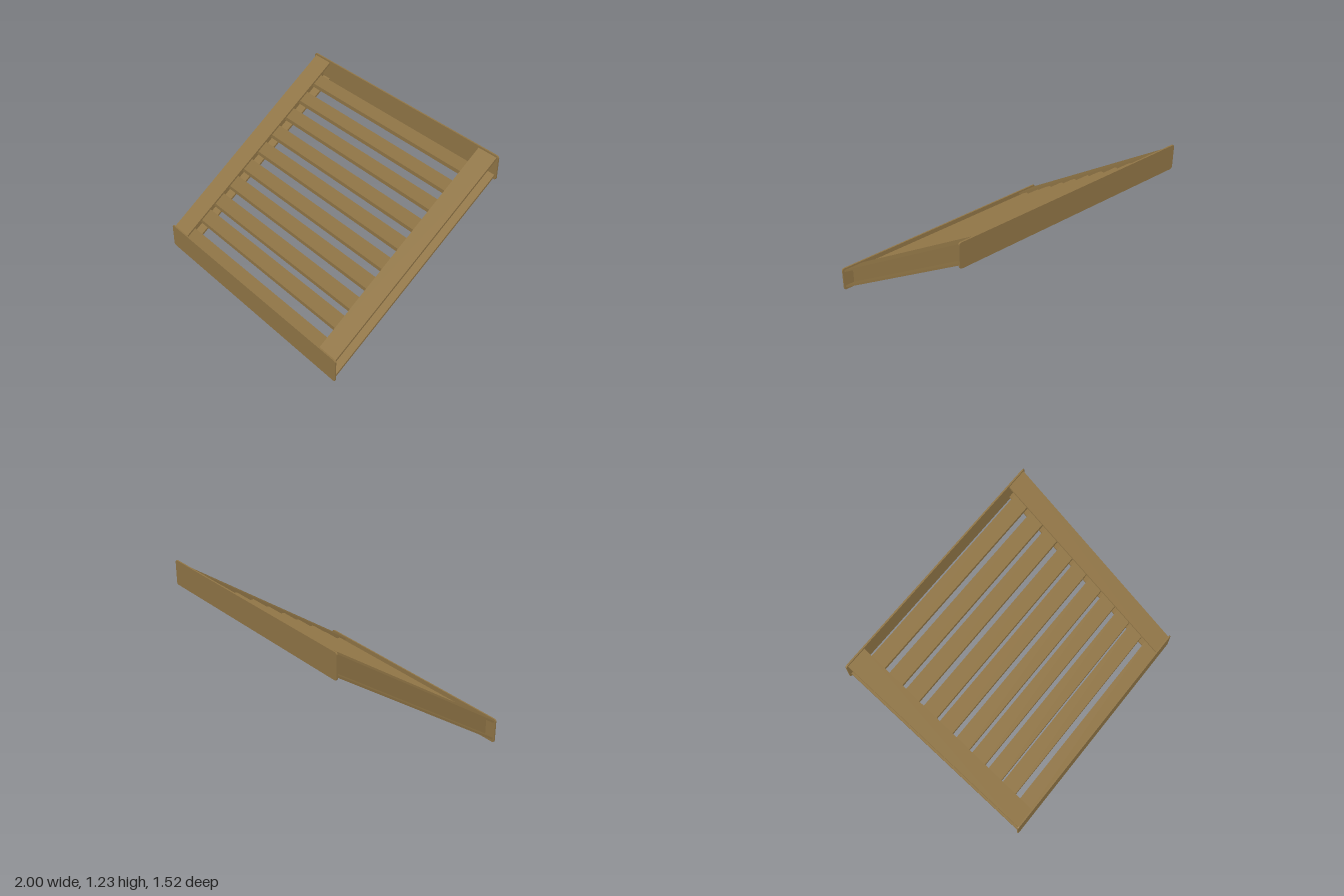
import * as THREE from 'three';

const Z = 0.75;                 // half run of the stringers
const RISE = 1.03;              // climb from front to back

export function createModel() {
  const group = new THREE.Group();
  const bronze = new THREE.MeshStandardMaterial({ color: 0x907546 });
  bronze.name = 'bronze steel';

  const add = (name, geometry, x = 0, y = 0, z = 0) => {
    const mesh = new THREE.Mesh(geometry, bronze);
    mesh.name = name;
    mesh.position.set(x, y, z);
    group.add(mesh);
  };

  // Sloped bar with vertical ends; y0 and y1 are its heights at the front end
  const slopedBar = (width, y0, y1) => {
    const geo = new THREE.BoxGeometry(width, y1 - y0, 2 * Z);
    const p = geo.attributes.position;
    for (let i = 0; i < p.count; i++) {
      const climb = RISE * (Z - p.getZ(i)) / (2 * Z);
      p.setY(i, p.getY(i) + (y0 + y1) / 2 + climb);
    }
    geo.computeVertexNormals();
    return geo;
  };

  // Flanged side stringers
  for (const [side, s] of [['left', 1], ['right', -1]]) {
    const x = s * 0.9;
    add(side + 'StringerTopFlange', slopedBar(0.17, 0.167, 0.185), x);
    add(side + 'StringerWeb', slopedBar(0.016, 0.038, 0.167), x);
    add(side + 'StringerBottomFlange', slopedBar(0.17, 0.02, 0.038), x);
  }

  // Horizontal treads running between the webs
  const treadZ = [0.685, 0.522, 0.387, 0.233, 0.088, -0.065, -0.207, -0.362, -0.505, -0.655];
  treadZ.forEach((z, i) => {
    const depth = i === 0 ? 0.122 : 0.134;
    add('tread' + (i + 1), new THREE.BoxGeometry(1.784, 0.032, depth), 0, 0.148 + i * 0.1014, z);
  });

  // End plates with small rounded corners
  const w = 1, h = 0.1, r = 0.018;
  const outline = new THREE.Shape();
  outline.absarc(w - r, h - r, r, 0, Math.PI / 2);
  outline.absarc(-w + r, h - r, r, Math.PI / 2, Math.PI);
  outline.absarc(-w + r, -h + r, r, Math.PI, Math.PI * 1.5);
  outline.absarc(w - r, -h + r, r, Math.PI * 1.5, Math.PI * 2);
  const plate = new THREE.ExtrudeGeometry(outline, { depth: 0.012, bevelEnabled: false, curveSegments: 4 });
  add('frontPlate', plate, 0, 0.1, Z);
  add('backPlate', plate, 0, 1.13, -Z - 0.012);

  return group;
}
